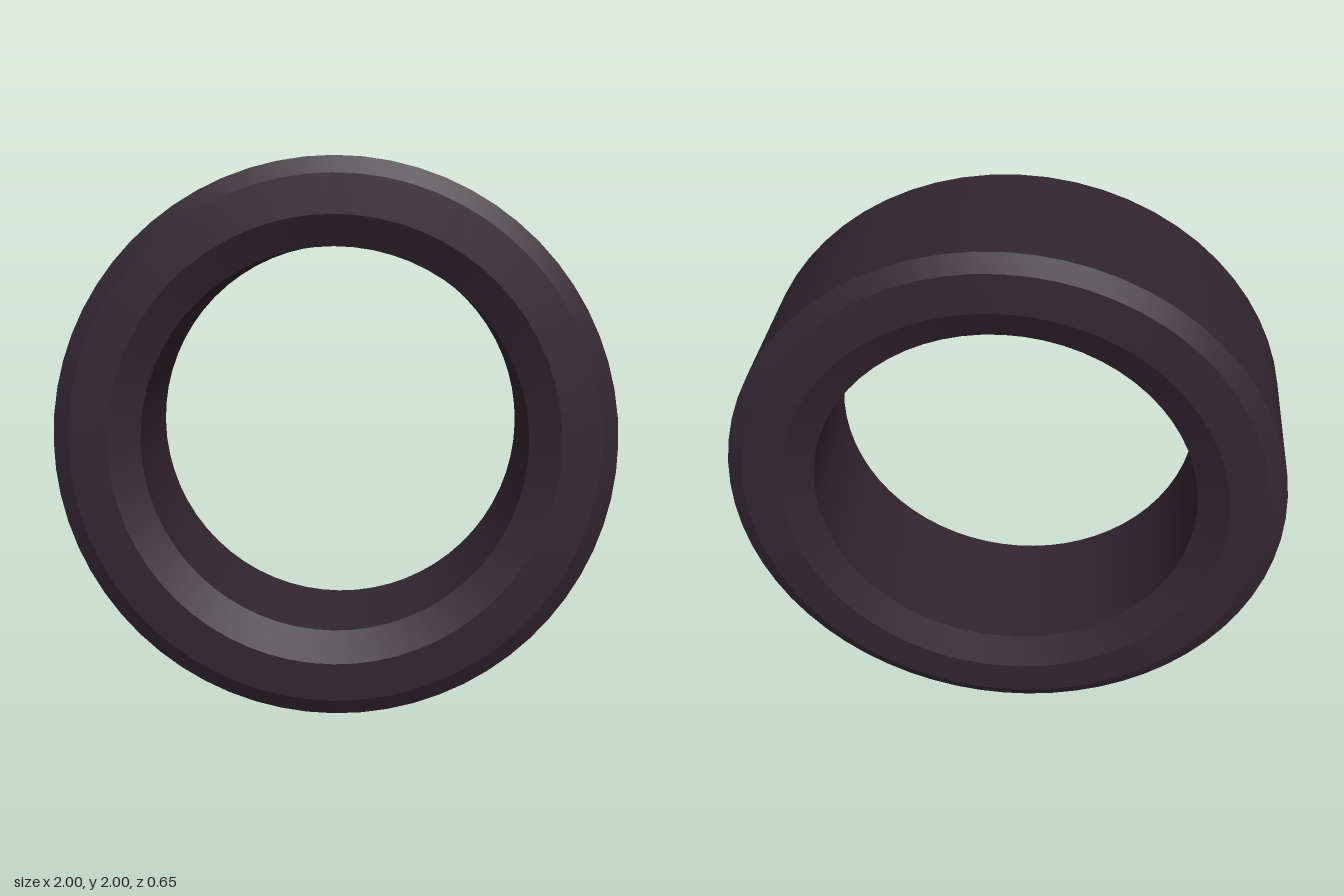
import * as THREE from 'three';
import { toCreasedNormals } from 'three/addons/utils/BufferGeometryUtils.js';

export function createModel() {
  const group = new THREE.Group();
  group.name = 'tire';

  const rubber = new THREE.MeshStandardMaterial({ color: 0x32262f });
  rubber.name = 'dark rubber';

  // Half of the cross-section as [radius, half width], from tread to inner bore
  const half = [[1, 0.28], [0.94, 0.315], [0.8, 0.323], [0.69, 0.27]];

  // Closed loop: up the tread, across one sidewall, down the bore, back along the other
  const loop = [
    [half[0][0], -half[0][1]],
    ...half,
    ...half.slice().reverse().map(([r, w]) => [r, -w]),
  ];
  const profile = loop.map(([r, w]) => new THREE.Vector2(r, w));

  // Spin the section, lay the axle along z, and keep the bevel edges crisp
  const lathe = new THREE.LatheGeometry(profile, 64);
  lathe.rotateX(Math.PI / 2);
  const tire = new THREE.Mesh(toCreasedNormals(lathe, 0.3), rubber);
  tire.name = 'tireRing';
  tire.position.y = 1;
  group.add(tire);

  return group;
}
